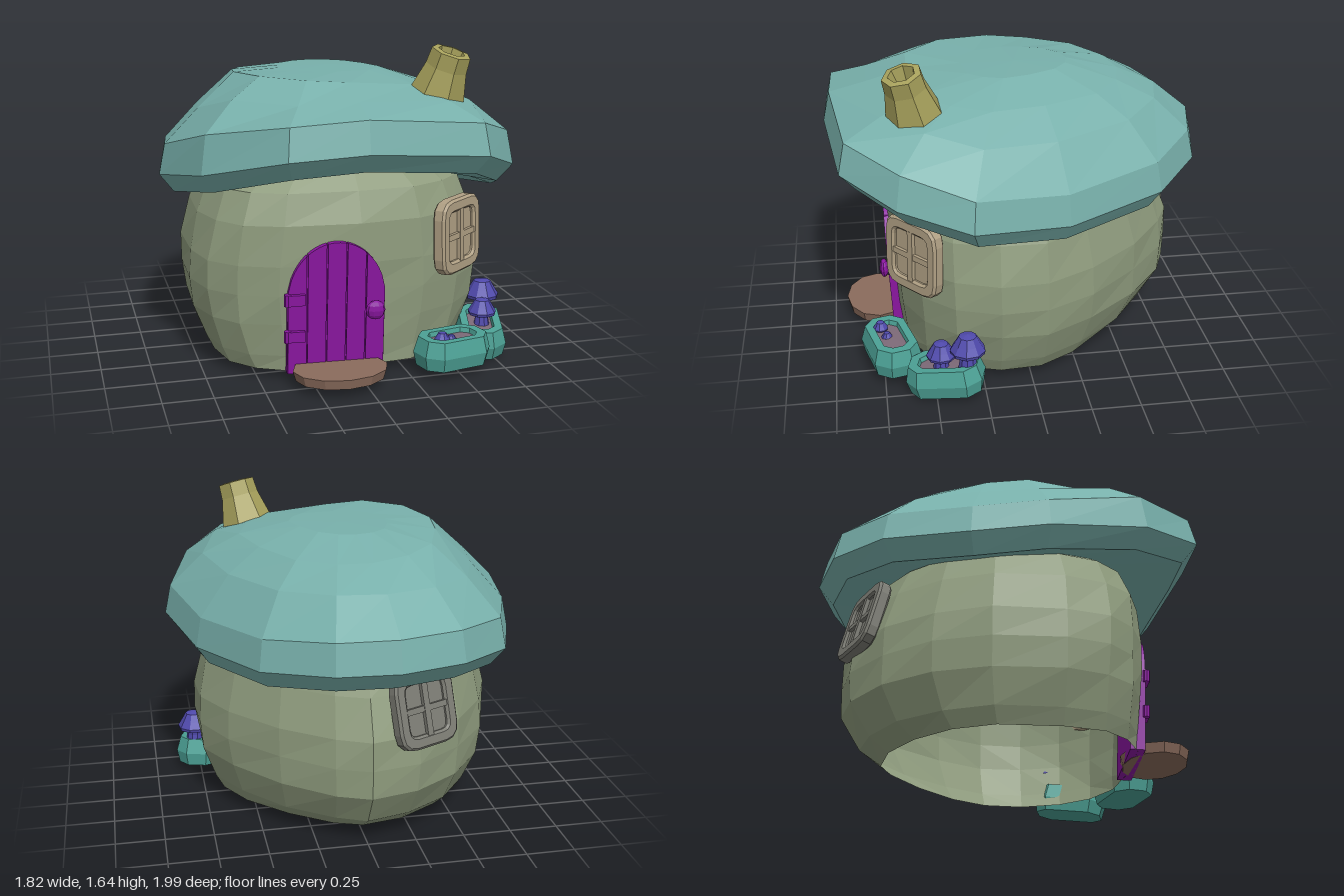
import * as THREE from 'three';

const mat = (color) => new THREE.MeshStandardMaterial({ color, flatShading: true, side: THREE.DoubleSide });
const M = {
  roof: mat(0x78b0ab), wall: mat(0x8f9c7e), door: mat(0x8a16a0), step: mat(0x8a6b5c), chimney: mat(0xa7a15c),
  planter: mat(0x4ca195), soil: mat(0x7d6a78), mushroom: mat(0x4f49ab), window: mat(0xb0a084), backWindow: mat(0x7c7c74),
};
const V = (x, y, z) => new THREE.Vector3(x, y, z);

function add(parent, name, geometry, material, x = 0, y = 0, z = 0) {
  const mesh = new THREE.Mesh(geometry, material);
  mesh.name = name;
  mesh.position.set(x, y, z);
  parent.add(mesh);
  return mesh;
}

function addGroup(parent, name, x = 0, y = 0, z = 0) {
  const group = new THREE.Group();
  group.name = name;
  group.position.set(x, y, z);
  parent.add(group);
  return group;
}

// Skin over closed rings, each running clockwise seen from above, listed from the underside upwards
function loft(rings) {
  const n = rings[0].length, index = [];
  for (let i = 0; i < rings.length - 1; i++) {
    for (let k = 0; k < n; k++) {
      const a = i * n + k, b = i * n + (k + 1) % n;
      index.push(a, a + n, b, b, a + n, b + n);
    }
  }
  const geometry = new THREE.BufferGeometry().setFromPoints(rings.flat());
  geometry.setIndex(index);
  geometry.computeVertexNormals();
  return geometry;
}

// Drooping cap: rim outline as [x, z, rim height, extra height of the shoulder]
function roofGeometry() {
  const rim = [
    [-0.1, -1, 1, 0], [0.2, -0.93, 0.98, 0], [0.52, -0.68, 0.94, 0], [0.78, -0.17, 0.91, 0], [0.91, 0.31, 0.96, 0],
    [0.79, 0.66, 1.05, 0.02], [0.56, 0.92, 1.15, 0], [-0.05, 0.99, 1.2, 0], [-0.43, 0.98, 1.18, 0], [-0.77, 0.64, 1.07, 0.05],
    [-0.91, 0.14, 0.98, 0], [-0.86, -0.24, 0.95, 0], [-0.71, -0.66, 0.97, 0], [-0.43, -0.91, 1, 0],
  ];
  const ring = (s, height) => rim.map(([x, z, y, lift]) => V(x * s, height(y, z, x, lift), z * s));
  return loft([
    ring(0, () => 1.1),
    ring(0.62, (y) => 0.97 + 0.3 * (y - 0.95)),
    ring(0.92, (y) => y - 0.095),
    ring(1, (y) => y),
    ring(0.965, (y, z, x, lift) => y + 0.155 + 0.7 * lift),
    ring(0.77, (y, z, x, lift) => 1.295 + 0.45 * (y - 0.95) + lift),
    ring(0.56, (y, z, x) => 1.44 + 0.03 * z - 0.04 * x),
    ring(0.28, () => 1.49),
    ring(0, () => 1.495),
  ]);
}

// Bulging wall, open underneath: rows of [y, half width, front z, back z]
function wallGeometry() {
  const rows = [
    [0.05, 0.67, 0.645, 0.63], [0.13, 0.71, 0.65, 0.74], [0.3, 0.77, 0.665, 0.85], [0.45, 0.79, 0.675, 0.855],
    [0.6, 0.785, 0.685, 0.845], [0.8, 0.74, 0.68, 0.77], [0.95, 0.68, 0.63, 0.7], [1.07, 0.5, 0.5, 0.55], [1.1, 0, 0, 0],
  ];
  const n = 18;
  // The plan is full at the front left and slack at the back right
  const fullness = (x, z) => (z > 0 ? (x > 0 ? 2.5 : 3.2) : (x > 0 ? 1.4 : 1.85));
  return loft(rows.map(([y, w, front, back], i) => Array.from({ length: n }, (_, k) => {
    const t = (k / n) * Math.PI * 2, s = Math.sin(t), c = -Math.cos(t);
    const e = 2 / fullness(s, c);
    const wobble = 1 + 0.006 * Math.sin(k * 2.7 + i * 1.9);
    const x = Math.sign(s) * Math.abs(s) ** e * w * wobble;
    const z = Math.sign(c) * Math.abs(c) ** e * (c > 0 ? front : back) * wobble;
    return V(x, y, z);
  })));
}

// Arched plank door with hinges and knob, leaning with the wall
function addDoor(parent) {
  const door = addGroup(parent, 'door', -0.125, 0.05, 0.65);
  door.rotation.set(0.05, -0.05, 0);
  const half = 0.245, planks = 5;
  const top = (u) => 0.38 + 0.29 * Math.sqrt(Math.max(0, 1 - (u / half) ** 2));
  const panel = (u0, u1, depth) => {
    const shape = new THREE.Shape();
    shape.moveTo(u0, 0);
    shape.lineTo(u1, 0);
    const n = 6;
    for (let i = 0; i <= n; i++) {
      const u = u1 + (u0 - u1) * i / n;
      shape.lineTo(u, top(u));
    }
    return new THREE.ExtrudeGeometry(shape, { depth, bevelEnabled: false });
  };
  add(door, 'doorBacking', panel(-half, half, 0.065), M.door, 0, 0, -0.055);
  for (let i = 0; i < planks; i++) {
    const w = 2 * half / planks, u = -half + i * w;
    add(door, 'doorPlank', panel(u + 0.003, u + w - 0.003, 0.075), M.door, 0, 0, -0.055);
  }
  for (const y of [0.2, 0.39]) {
    add(door, 'doorHinge', new THREE.BoxGeometry(0.08, 0.055, 0.03), M.door, -0.2, y, 0.025);
    add(door, 'hingePin', new THREE.CylinderGeometry(0.018, 0.018, 0.06, 8), M.door, -0.245, y, 0.025);
  }
  const knob = add(door, 'doorKnob', new THREE.SphereGeometry(0.05, 10, 6), M.door, 0.19, 0.32, 0.045);
  knob.scale.z = 0.5;
}

function roundedRect(Type, w, h, r) {
  const s = new Type();
  s.moveTo(w, h - r);
  s.quadraticCurveTo(w, h, w - r, h);
  s.lineTo(r - w, h);
  s.quadraticCurveTo(-w, h, -w, h - r);
  s.lineTo(-w, r - h);
  s.quadraticCurveTo(-w, -h, r - w, -h);
  s.lineTo(w - r, -h);
  s.quadraticCurveTo(w, -h, w, r - h);
  s.closePath();
  return s;
}

// Rounded window with four panes, facing along yaw and leaning back by tilt
function addWindow(parent, name, material, x, y, z, yaw, tilt) {
  const win = addGroup(parent, name, x, y, z);
  win.rotation.set(-tilt, yaw, 0, 'YXZ');
  const frame = roundedRect(THREE.Shape, 0.17, 0.18, 0.08);
  frame.holes.push(roundedRect(THREE.Path, 0.13, 0.138, 0.05));
  const options = { depth: 0.045, bevelSize: 0.012, bevelThickness: 0.012, bevelSegments: 1, curveSegments: 3 };
  add(win, 'windowFrame', new THREE.ExtrudeGeometry(frame, options), material, 0, 0, -0.03);
  add(win, 'windowPane', new THREE.BoxGeometry(0.27, 0.28, 0.03), material, 0, 0, -0.01);
  add(win, 'windowUpright', new THREE.BoxGeometry(0.035, 0.28, 0.04), material, 0, 0, 0.005);
  add(win, 'windowCrossbar', new THREE.BoxGeometry(0.27, 0.03, 0.035), material, 0, 0, 0.005);
}

// Long tub with a hollow top and soil
function addPlanter(parent, x, y, z, yaw, tilt) {
  const planter = addGroup(parent, 'planter', x, y, z);
  planter.rotation.set(0, yaw, tilt, 'YZX');
  const ring = (l, w, h) => {
    const c = 0.06 * w / 0.11;
    return [[l - c, -w], [l, c - w], [l, w - c], [l - c, w], [c - l, w], [-l, w - c], [-l, c - w], [c - l, -w]]
      .map(([px, pz]) => V(px, h, pz));
  };
  add(planter, 'planterTub', loft([
    ring(0, 0, 0), ring(0.18, 0.11, 0), ring(0.195, 0.125, 0.07), ring(0.175, 0.105, 0.15),
    ring(0.13, 0.065, 0.15), ring(0.12, 0.055, 0.1),
  ]), M.planter);
  add(planter, 'planterSoil', loft([ring(0.128, 0.062, 0.125), ring(0, 0, 0.13)]), M.soil);
}

// Toadstool whose cap has radius r and whose top is at y
function addMushroom(parent, x, y, z, r, base) {
  const h = (y - base) / r;
  const profile = [[0, 0], [0.6, 0], [0.45, h * 0.4], [0.5, h - 1.05], [0.95, h - 1.15], [1, h - 0.95], [0.75, h - 0.55],
    [0.5, h - 0.12], [0, h]].map(([a, b]) => new THREE.Vector2(a * r, b * r));
  add(parent, 'mushroom', new THREE.LatheGeometry(profile, 9), M.mushroom, x, base, z);
}

export function createModel() {
  const model = new THREE.Group();
  model.name = 'mushroomHouse';
  add(model, 'roof', roofGeometry(), M.roof);
  add(model, 'wall', wallGeometry(), M.wall);

  // Leaning hollow chimney
  const flue = [[0.145, -0.04], [0.125, 0.04], [0.105, 0.12], [0.1, 0.2], [0.068, 0.205], [0.045, 0.1], [0, 0.09]];
  const chimney = add(model, 'chimney',
    new THREE.LatheGeometry(flue.map(([r, y]) => new THREE.Vector2(r, y)), 7), M.chimney, 0.43, 1.42, 0.55);
  chimney.rotation.set(0.25, 0, -0.22);

  addDoor(model);
  const step = add(model, 'doorStep', new THREE.CylinderGeometry(0.24, 0.225, 0.05, 12), M.step, -0.125, 0.075, 0.755);
  step.scale.z = 0.73;

  addWindow(model, 'frontWindow', M.window, 0.54, 0.685, 0.58, 0.68, 0.03);
  addWindow(model, 'backWindow', M.backWindow, -0.275, 0.725, -0.75, Math.PI + 0.45, 0.25);

  addPlanter(model, 0.47, 0.05, 0.71, 0.25, -0.02);
  addPlanter(model, 0.73, 0.025, 0.44, 1.3, 0.12);
  addMushroom(model, 0.78, 0.355, 0.34, 0.09, 0.13);
  addMushroom(model, 0.73, 0.29, 0.47, 0.075, 0.12);
  addMushroom(model, 0.4, 0.235, 0.76, 0.04, 0.15);
  addMushroom(model, 0.46, 0.205, 0.73, 0.03, 0.15);
  return model;
}
